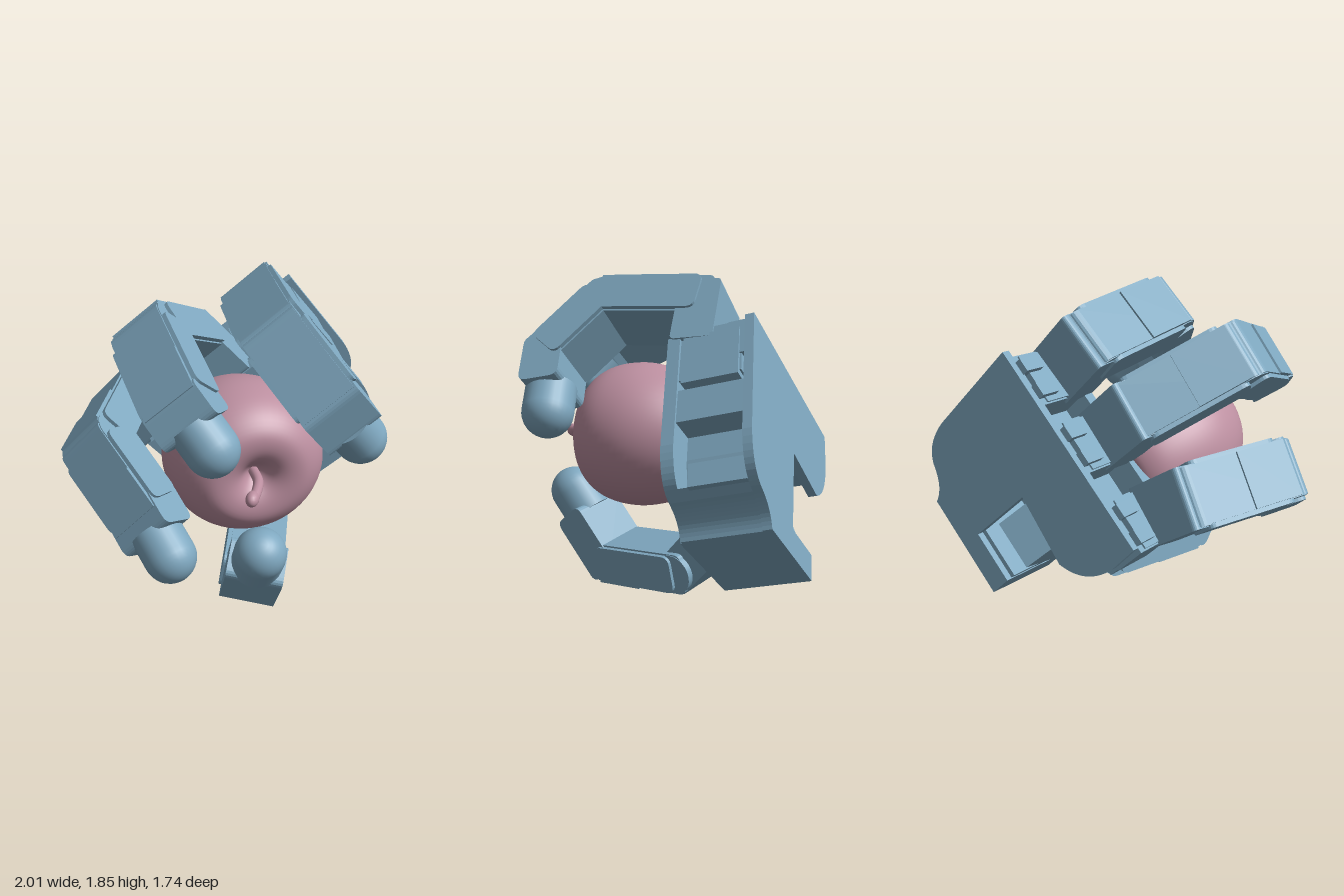
import * as THREE from 'three';

const V = (x, y, z) => new THREE.Vector3(x, y, z);
const shell = new THREE.MeshStandardMaterial({ color: 0x7fa8c0 });
const fruit = new THREE.MeshStandardMaterial({ color: 0xbc8fa0 });

function add(parent, name, geometry, x = 0, y = 0, z = 0, material = shell) {
  const m = new THREE.Mesh(geometry, material);
  m.name = name;
  m.position.set(x, y, z);
  parent.add(m);
  return m;
}

// Box given by its minimum and maximum along each axis
function block(parent, name, [x0, x1], [y0, y1], [z0, z1]) {
  return add(parent, name, new THREE.BoxGeometry(x1 - x0, y1 - y0, z1 - z0),
    (x0 + x1) / 2, (y0 + y1) / 2, (z0 + z1) / 2);
}

// Side profile of a link: rounded rectangle along y, extruded to the link width
function linkGeometry(y0, y1, t, w, r) {
  const h = t / 2, s = new THREE.Shape();
  s.moveTo(-h + r, y0);
  s.lineTo(h - r, y0);
  s.quadraticCurveTo(h, y0, h, y0 + r);
  s.lineTo(h, y1 - r);
  s.quadraticCurveTo(h, y1, h - r, y1);
  s.lineTo(-h + r, y1);
  s.quadraticCurveTo(-h, y1, -h, y1 - r);
  s.lineTo(-h, y0 + r);
  s.quadraticCurveTo(-h, y0, -h + r, y0);
  const g = new THREE.ExtrudeGeometry(s, { depth: w, bevelEnabled: false, curveSegments: 5 });
  return g.translate(0, 0, -w / 2);
}

// Chain of links through the joints; x of each link points outward, z along the hinge
function digit(parent, name, joints, side, w, knuckleWidth) {
  const g = new THREE.Group();
  g.name = name;
  parent.add(g);
  const t = 0.24;
  for (let i = 0; i < joints.length - 1; i++) {
    const dir = joints[i + 1].clone().sub(joints[i]);
    const L = dir.length();
    dir.normalize();
    const out = dir.clone().cross(side).normalize();
    const hinge = out.clone().cross(dir);
    const link = new THREE.Group();
    link.name = 'link' + (i + 1);
    link.applyMatrix4(new THREE.Matrix4().makeBasis(out, dir, hinge));
    link.position.copy(joints[i]);
    g.add(link);
    if (i === 0) {
      add(link, 'knuckle', linkGeometry(-0.1, L + 0.08, t, knuckleWidth, 0.03));
      continue;
    }
    const barrel = new THREE.CylinderGeometry(0.115, 0.115, w - 0.03, 24).rotateX(Math.PI / 2);
    add(link, 'hinge', barrel);
    if (i === joints.length - 2) {
      // Fingertip: socket, neck and round rubber end
      const r = 0.145;
      add(link, 'tipSocket', linkGeometry(-0.08, L - 0.12, t, w - 0.02, 0.05));
      add(link, 'tipNeck', new THREE.CylinderGeometry(r, r, 0.16, 28), 0, L - 0.08, 0);
      add(link, 'fingertip', new THREE.SphereGeometry(r, 28, 18), 0, L, 0);
    } else {
      add(link, 'linkBody', linkGeometry(-0.07, L + 0.06, t, w - 0.04, 0.05));
      // Raised outer cheeks and back panel
      for (const k of [-1, 1])
        add(link, 'cheek', linkGeometry(0.0, L - 0.01, t - 0.02, 0.03, 0.05), 0, 0, k * (w / 2 - 0.01));
      block(link, 'backPanel', [t / 2 - 0.02, t / 2 + 0.012], [L * 0.5, L + 0.02], [-w / 2 + 0.02, w / 2 - 0.02]);
    }
  }
}

// Concave corner between the wrist and the free side of the palm
function wristCurve(s, e) {
  s.lineTo(-0.32 - e, -1.07);
  s.quadraticCurveTo(-0.29 - e, -0.97, -0.17 - e, -0.93);
}

// Palm outline with the thumb notch; e pulls the free edges inward
function palmShape(e) {
  const s = new THREE.Shape();
  s.moveTo(-e, -e);
  s.lineTo(-1.27 + e, -e);
  s.lineTo(-1.28 + e, -0.2);
  s.quadraticCurveTo(-1.26 + e, -0.42, -1.08 + e, -0.5 + e);
  s.lineTo(-0.66 + e, -0.46 + e);
  s.lineTo(-0.64 + e, -0.92);
  s.lineTo(-0.96, -0.92);
  s.lineTo(-0.96, -1.07);
  wristCurve(s, e);
  s.quadraticCurveTo(-0.03 - e, -0.89, -0.01 - e, -0.68);
  s.closePath();
  return s;
}

// Solid end of the palm at the wrist
function wristShape() {
  const s = new THREE.Shape();
  s.moveTo(-0.955, -0.89);
  s.lineTo(-0.955, -1.07);
  wristCurve(s, 0.01);
  s.lineTo(-0.12, -0.89);
  s.closePath();
  return s;
}

function palmLayer(parent, name, shape, z0, z1) {
  const g = new THREE.ExtrudeGeometry(shape, { depth: z1 - z0, bevelEnabled: false, curveSegments: 10 });
  add(parent, name, g, 0, 0, z0);
}

function buildPalm() {
  const palm = new THREE.Group();
  palm.name = 'palm';
  palm.applyMatrix4(new THREE.Matrix4().makeBasis(
    V(0.775, 0.612, 0.15), V(-0.63, 0.76, 0.154), V(-0.02, -0.215, 0.976)));
  palm.position.set(0.53, 1.65, -0.56);
  palmLayer(palm, 'backPlate', palmShape(0), 0, 0.05);
  palmLayer(palm, 'palmCore', palmShape(0.2), 0.05, 0.43);
  palmLayer(palm, 'palmCover', palmShape(0.03), 0.42, 0.49);
  palmLayer(palm, 'wristBlock', wristShape(), 0.04, 0.48);
  block(palm, 'sideHousing', [-0.24, -0.03], [-0.33, -0.04], [0.09, 0.4]);
  block(palm, 'sideBlock', [-0.24, -0.05], [-0.55, -0.36], [0.05, 0.43]);
  block(palm, 'sideWedge', [-0.26, -0.1], [-0.9, -0.77], [0.05, 0.36]);

  // Fingers: position along the knuckle row, yaw, splay, then joints as [y, z]
  const fingers = [
    ['firstFinger', -0.2, 0.06, 0, [[0.05, 0.36], [0.25, 0.34], [0.38, 0.94], [0.07, 1.25], [-0.265, 1.25]]],
    ['middleFinger', -0.64, -0.05, 0.06, [[0.05, 0.36], [0.25, 0.34], [0.72, 0.73], [0.57, 1.2], [0.38, 1.37]]],
    ['outerFinger', -1.14, -0.14, 0.22, [[0.05, 0.34], [0.25, 0.33], [0.46, 0.87], [0.15, 1.21], [0, 1.44]]],
  ];
  for (const [name, x, yaw, splay, pts] of fingers) {
    const root = new THREE.Group();
    root.name = name + 'Root';
    root.position.set(x, 0, 0.26);
    root.rotation.set(0, yaw, splay);
    palm.add(root);
    digit(root, name, pts.map(([y, z]) => V(0, y, z - 0.26)), V(1, 0, 0), 0.36, 0.34);
    // Stepped knuckle mount between the palm layers
    block(palm, 'knuckleMount', [x - 0.15, x + 0.15], [-0.3, 0.01], [0.08, 0.42]);
    for (const k of [-1, 1]) {
      block(palm, 'mountStep', [x + k * 0.12 - 0.04, x + k * 0.12 + 0.04], [-0.2, 0], [0.04, 0.24]);
      block(palm, 'mountStep', [x + k * 0.08 - 0.04, x + k * 0.08 + 0.04], [-0.2, 0.04], [0.04, 0.17]);
    }
  }
  // Thumb mount sitting in the notch
  const mount = block(palm, 'thumbMount', [-0.96, -0.66], [-0.88, -0.56], [0.12, 0.48]);
  mount.rotation.x = 0.35;
  return palm;
}

function buildThumb(parent) {
  const joints = [V(0.3, 0.41, -0.3), V(0.21, 0.2, -0.11), V(0.0, 0.16, 0.44), V(-0.03, 0.53, 0.72)];
  const side = joints[2].clone().sub(joints[1]).cross(joints[3].clone().sub(joints[2])).normalize();
  digit(parent, 'thumb', joints, side, 0.34, 0.25);
}

function buildApple() {
  const apple = new THREE.Group();
  apple.name = 'apple';
  apple.position.set(0, 0.91, 0);
  // Profile turned about its axis, then laid so that the stem end faces forward
  const profile = [[0, -0.19], [0.06, -0.2], [0.13, -0.235], [0.2, -0.23], [0.29, -0.17], [0.37, -0.05],
    [0.43, 0.1], [0.452, 0.25], [0.43, 0.4], [0.37, 0.51], [0.28, 0.58], [0.19, 0.59], [0.11, 0.56],
    [0.05, 0.5], [0, 0.46]].map(([r, h]) => new THREE.Vector2(r, h));
  const smooth = new THREE.SplineCurve(profile).getPoints(56).map(p => new THREE.Vector2(Math.max(p.x, 0), p.y));
  const body = new THREE.LatheGeometry(smooth, 56).rotateX(Math.PI / 2).scale(1, 0.94, 1);
  add(apple, 'appleBody', body, 0, 0, 0, fruit);
  const path = new THREE.CatmullRomCurve3([V(0, 0, 0.45), V(-0.01, 0, 0.6), V(-0.05, -0.005, 0.7), V(-0.095, -0.015, 0.77)]);
  add(apple, 'stem', new THREE.TubeGeometry(path, 20, 0.028, 14), 0, 0, 0, fruit);
  const end = add(apple, 'stemEnd', new THREE.SphereGeometry(0.042, 18, 12), -0.085, -0.013, 0.745, fruit);
  end.scale.set(0.85, 0.95, 1.3);
  end.rotation.y = -0.5;
  return apple;
}

export function createModel() {
  const model = new THREE.Group();
  model.name = 'robotHandHoldingApple';
  model.add(buildPalm(), buildApple());
  buildThumb(model);
  return model;
}
